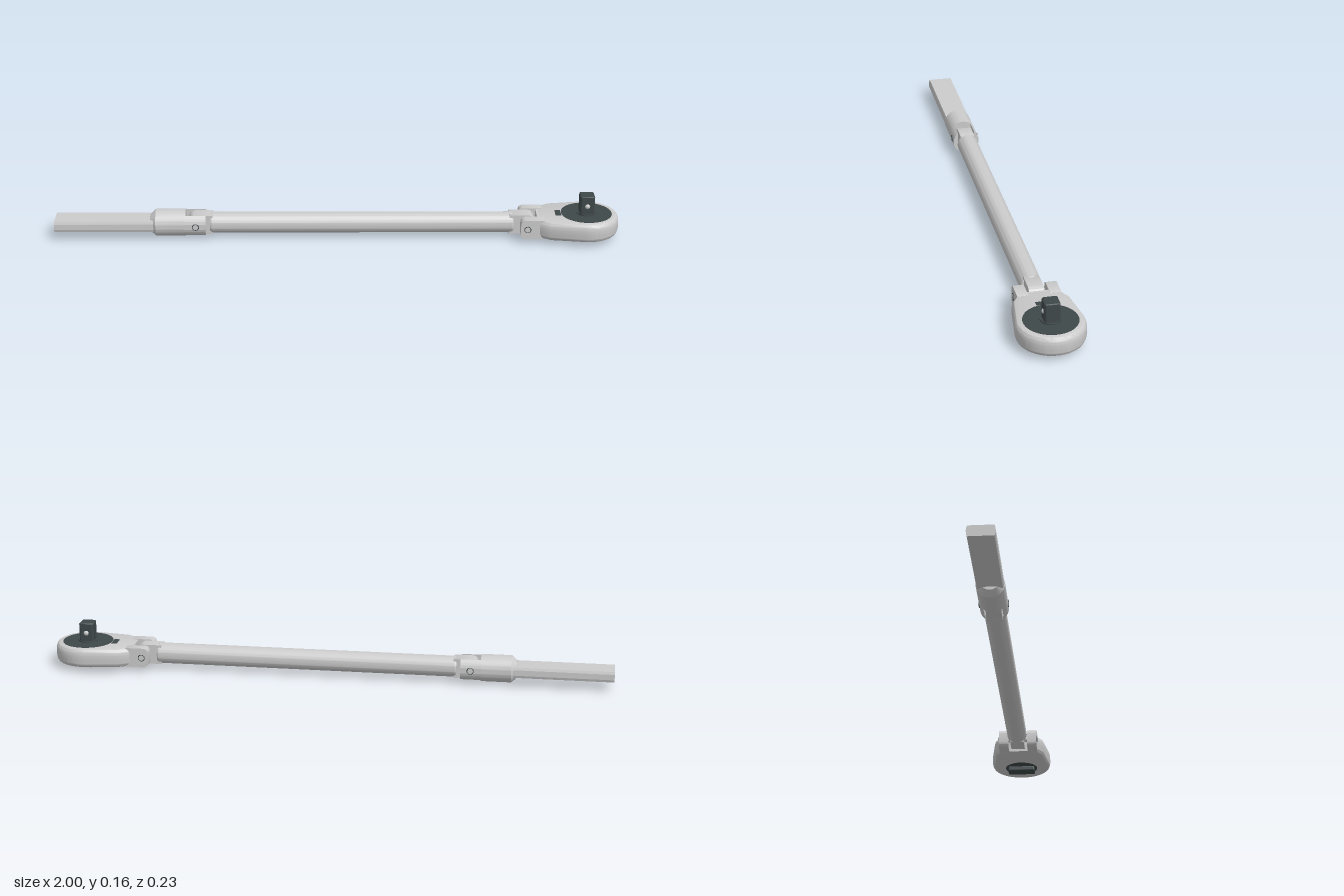
import * as THREE from 'three';
import { toCreasedNormals } from 'three/addons/utils/BufferGeometryUtils.js';
import { RoundedBoxGeometry } from 'three/addons/geometries/RoundedBoxGeometry.js';

const AXIS = 0.053;   // height of the handle axis
const HEAD = 0.885;   // x of the ratchet centre

export function createModel() {
  const model = new THREE.Group();
  const steel = new THREE.MeshStandardMaterial({ color: 0xcccccc });
  const dark = new THREE.MeshStandardMaterial({ color: 0x3f484a });

  const add = (name, geo, mat, x = 0, y = 0, z = 0) => {
    const mesh = new THREE.Mesh(geo, mat);
    mesh.name = name;
    mesh.position.set(x, y, z);
    model.add(mesh);
    return mesh;
  };
  const extrude = (shape, depth, extra = {}) => toCreasedNormals(
    new THREE.ExtrudeGeometry(shape, { depth, bevelEnabled: false, curveSegments: 32, ...extra }), 0.6);

  // turned part along x, profile as [radius, x]
  const turned = (profile) => toCreasedNormals(
    new THREE.LatheGeometry(profile.map(([r, x]) => new THREE.Vector2(r, x)), 48).rotateZ(-Math.PI / 2), 0.35);

  // cross-section in (z, y) drawn out along x
  const alongX = (shape, length) => extrude(shape, length).rotateY(Math.PI / 2);

  // hinge plate in the xy plane, corners rounded on one or both ends
  const plate = (x0, x1, half, r, z0, z1, roundLeft, roundRight) => {
    const s = new THREE.Shape();
    const l = roundLeft ? r : 0.0005, q = roundRight ? r : 0.0005;
    s.moveTo(x0 + l, -half);
    s.lineTo(x1 - q, -half);
    s.absarc(x1 - q, -half + q, q, -Math.PI / 2, 0);
    s.absarc(x1 - q, half - q, q, 0, Math.PI / 2);
    s.absarc(x0 + l, half - l, l, Math.PI / 2, Math.PI);
    s.absarc(x0 + l, -half + l, l, Math.PI, Math.PI * 1.5);
    return extrude(s, z1 - z0).translate(0, AXIS, z0);
  };

  // main shaft with a hinge tang at each end
  add('shaft', turned([[0, -0.45], [0.034, -0.45], [0.037, -0.444], [0.037, 0.619], [0.034, 0.625], [0, 0.625]]),
    steel, 0, AXIS);
  add('handleTang', plate(-0.526, -0.44, 0.035, 0.024, -0.026, 0.026, true, false), steel);
  add('headTang', plate(0.61, 0.7, 0.035, 0.024, -0.026, 0.026, false, true), steel);

  // handle socket and its two fork cheeks, left where a slot cuts the round bar
  const R = 0.048, slot = 0.031;
  add('handleSocket', turned([[0, -0.662], [0.03, -0.662], [R, -0.642], [R, -0.536], [0, -0.536]]), steel, 0, AXIS);
  const a = Math.acos(slot / R);
  for (const side of [0, Math.PI]) {
    const cheek = new THREE.Shape();
    cheek.absarc(0, 0, R, side - a, side + a);
    cheek.closePath();
    add('handleForkCheek', alongX(cheek, 0.074), steel, -0.539, AXIS);
  }

  // flat grip: a round bar milled flat above and below
  const b = Math.asin(0.019 / 0.046);
  const grip = new THREE.Shape();
  grip.absarc(0, 0, 0.046, -b, b);
  grip.absarc(0, 0, 0.046, Math.PI - b, Math.PI + b);
  grip.closePath();
  add('flatGrip', alongX(grip, 0.35), steel, -1, AXIS);

  // ratchet head with a rounded rim
  const outline = new THREE.Shape();
  outline.moveTo(0.708, -0.068);
  outline.lineTo(0.722, -0.078);
  outline.lineTo(0.752, -0.096);
  outline.absarc(HEAD, 0, 0.114, -1.71, 1.71);
  outline.lineTo(0.752, 0.096);
  outline.lineTo(0.722, 0.078);
  outline.lineTo(0.708, 0.068);
  outline.closePath();
  add('ratchetHead', extrude(outline, 0.02, {
    bevelEnabled: true, bevelThickness: 0.024, bevelSize: 0.013, bevelOffset: -0.013, bevelSegments: 8,
  }).rotateX(-Math.PI / 2), steel, 0, 0.043);
  add('headForkBase', new THREE.BoxGeometry(0.035, 0.067, 0.13), steel, 0.7245, AXIS);
  for (const s of [-1, 1]) {
    add('headForkCheek', plate(0.648, 0.73, 0.035, 0.018,
      s < 0 ? -0.073 : 0.036, s < 0 ? -0.036 : 0.073, true, false), steel);
  }

  // hinge pins with a dark ring around each end
  for (const [x, half] of [[-0.5, 0.049], [0.672, 0.074]]) {
    add('hingePin', new THREE.CylinderGeometry(0.01, 0.01, half * 2, 24).rotateX(Math.PI / 2), steel, x, AXIS);
    for (const s of [-1, 1]) {
      add('pinRing', new THREE.TorusGeometry(0.011, 0.0015, 8, 24), dark, x, AXIS, s * (half - 0.001));
    }
  }

  // gear cover, collar and pawl window on top
  const disc = (r, h) => new THREE.CylinderGeometry(r, r, h, 48);
  add('gearCover', disc(0.09, 0.006), dark, HEAD, 0.085);
  add('driveCollar', disc(0.035, 0.008), dark, HEAD, 0.088);
  add('pawlWindow', new THREE.BoxGeometry(0.02, 0.004, 0.05), dark, 0.784, 0.0855);

  // square drive with chamfered corners and retaining balls
  const sq = new THREE.Shape();
  const h = 0.0255, c = 0.021;
  [[h, -c], [h, c], [c, h], [-c, h], [-h, c], [-h, -c], [-c, -h], [c, -h]].forEach(([x, y], i) =>
    i ? sq.lineTo(x, y) : sq.moveTo(x, y));
  sq.closePath();
  add('squareDrive', extrude(sq, 0.07, {
    bevelEnabled: true, bevelThickness: 0.003, bevelSize: 0.003, bevelOffset: -0.003, bevelSegments: 1,
  }).rotateX(-Math.PI / 2), dark, HEAD, 0.085);
  for (const s of [-1, 1]) {
    add('retainingBall', new THREE.SphereGeometry(0.011, 20, 14), steel, HEAD, 0.121, s * 0.0195);
  }

  // reversing lever beneath the head
  add('leverPlate', disc(0.062, 0.004), dark, HEAD, 0.0205);
  add('reversingLever', new RoundedBoxGeometry(0.046, 0.022, 0.104, 4, 0.006), dark, HEAD, 0.011);

  return model;
}
